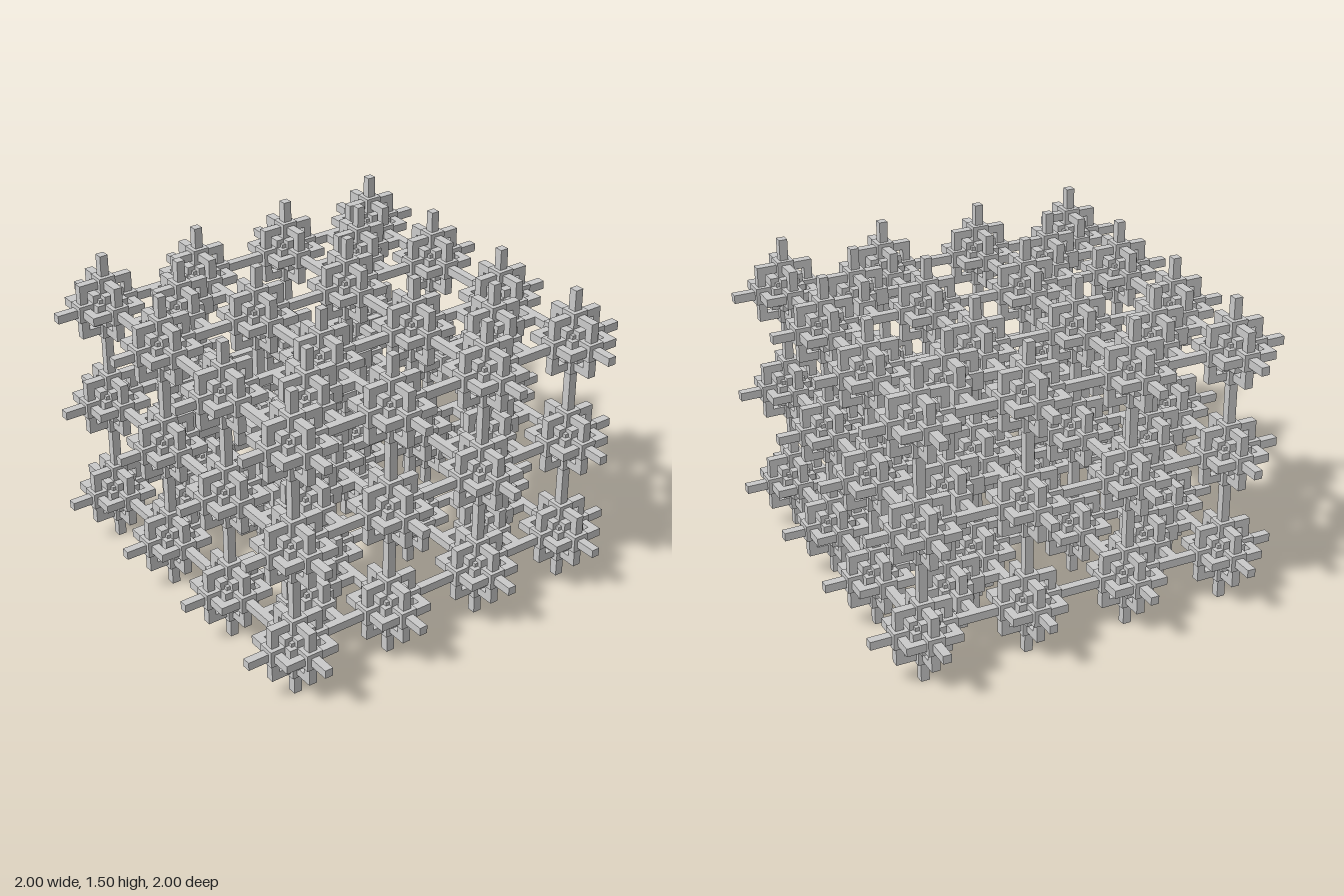
import * as THREE from 'three';
import { mergeGeometries } from 'three/addons/utils/BufferGeometryUtils.js';

const material = new THREE.MeshStandardMaterial({ color: 0xcccccc, flatShading: true });

// Box from half sizes, stretched along one axis
function axisBox(axis, along, across) {
  const size = [across * 2, across * 2, across * 2];
  size[axis] = along * 2;
  return new THREE.BoxGeometry(...size);
}

// Square frame lying across one axis
function squareFrame(axis, outer, inner, half) {
  const shape = new THREE.Shape([
    new THREE.Vector2(-outer, -outer), new THREE.Vector2(outer, -outer),
    new THREE.Vector2(outer, outer), new THREE.Vector2(-outer, outer),
  ]);
  shape.holes.push(new THREE.Path([
    new THREE.Vector2(-inner, -inner), new THREE.Vector2(-inner, inner),
    new THREE.Vector2(inner, inner), new THREE.Vector2(inner, -inner),
  ]));
  const geometry = new THREE.ExtrudeGeometry(shape, { depth: half * 2, bevelEnabled: false });
  geometry.translate(0, 0, -half);
  if (axis === 0) geometry.rotateY(Math.PI / 2);
  if (axis === 1) geometry.rotateX(Math.PI / 2);
  return geometry;
}

export function createModel() {
  const model = new THREE.Group();
  model.name = 'lattice';
  const axes = [0, 1, 2];

  // Thin rods that link neighbouring nodes
  const rods = mergeGeometries(axes.map((a) => axisBox(a, 0.25, 0.02)));
  // Short thick arms
  const arms = mergeGeometries(axes.map((a) => axisBox(a, 0.15, 0.04)));
  // Stepped core: a cube with three crossing plates
  const plates = axes.map((a) => axisBox(a, 0.04, 0.078));
  const core = mergeGeometries([new THREE.BoxGeometry(0.116, 0.116, 0.116), ...plates]);
  // Square frames around the core; the infill nodes have only the upright ones
  const frame = (a) => squareFrame(a, 0.133, 0.095, 0.02);
  const allFrames = mergeGeometries(axes.map(frame));
  const uprightFrames = mergeGeometries([0, 2].map(frame));

  function addNode(name, x, y, z, frames) {
    const node = new THREE.Group();
    node.name = name;
    for (const [part, geometry] of Object.entries({ rods, arms, core, frames })) {
      const mesh = new THREE.Mesh(geometry, material);
      mesh.name = part;
      node.add(mesh);
    }
    node.position.set(x, y, z);
    model.add(node);
  }

  for (const y of [0.25, 0.75, 1.25]) {
    // Main grid
    for (const x of [-0.75, -0.25, 0.25, 0.75]) {
      for (const z of [-0.75, -0.25, 0.25, 0.75]) addNode('gridNode', x, y, z, allFrames);
    }
    // Infill nodes at the centre of each quarter
    for (const x of [-0.5, 0.5]) {
      for (const z of [-0.5, 0.5]) addNode('infillNode', x, y, z, uprightFrames);
    }
  }
  return model;
}
